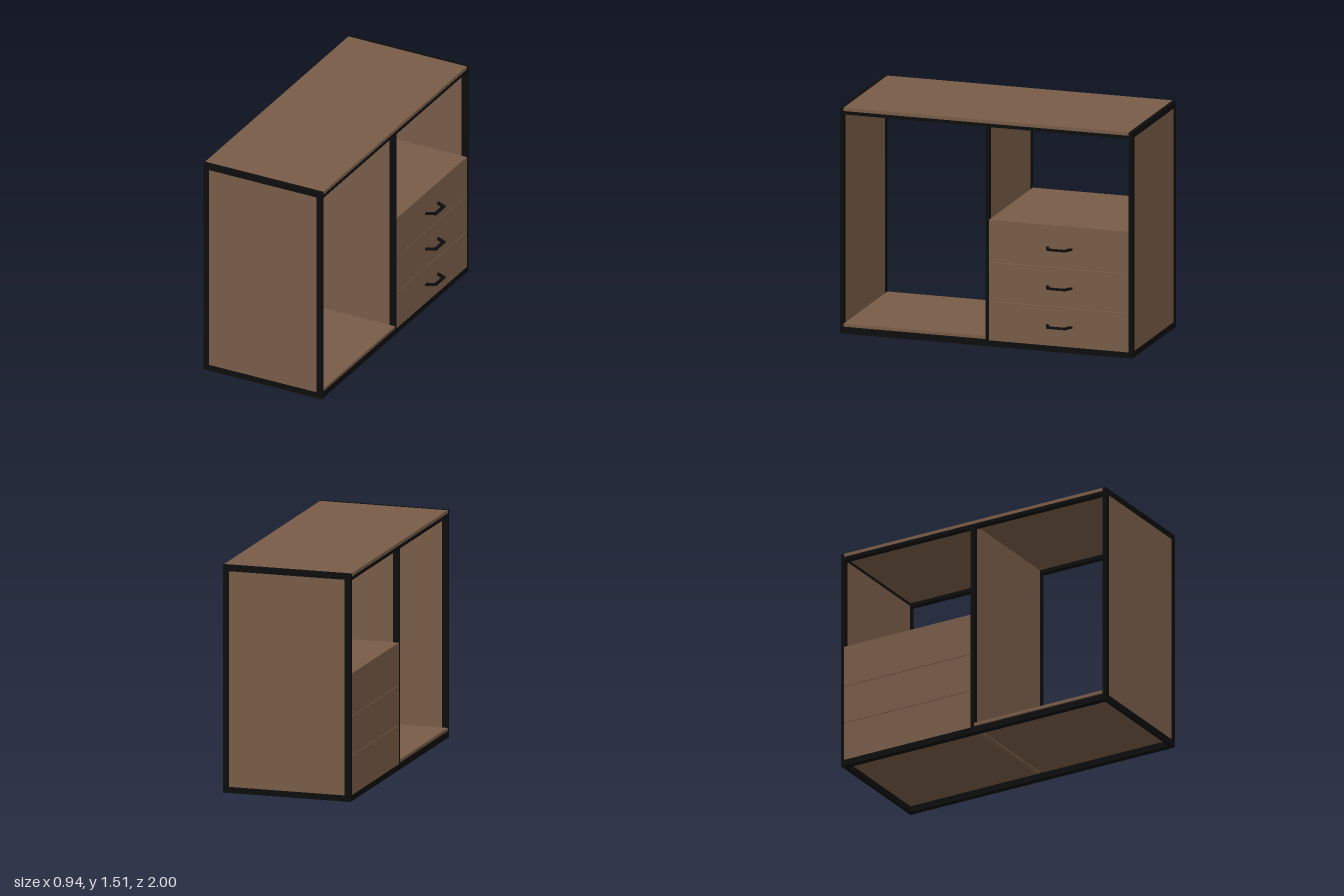
import * as THREE from 'three';

export function createModel() {
  const model = new THREE.Group();
  model.name = 'sideboard';

  const wood = new THREE.MeshStandardMaterial({ color: 0x785c48 });
  wood.name = 'brown wood';
  const metal = new THREE.MeshStandardMaterial({ color: 0x0d0d0d });
  metal.name = 'black metal';

  // Box given by its minimum and maximum corners
  function box(name, material, [x0, y0, z0], [x1, y1, z1]) {
    const mesh = new THREE.Mesh(new THREE.BoxGeometry(x1 - x0, y1 - y0, z1 - z0), material);
    mesh.position.set((x0 + x1) / 2, (y0 + y1) / 2, (z0 + z1) / 2);
    mesh.name = name;
    model.add(mesh);
    return mesh;
  }

  const back = -0.47, front = 0.4, height = 1.51;
  const bar = 0.04, thin = 0.025, inner = 1 - thin;

  // End frames with their inset panels
  for (const side of [-1, 1]) {
    const z0 = side > 0 ? inner : -1, z1 = z0 + thin;
    box('endPostBack', metal, [back, 0, z0], [back + bar, height, z1]);
    box('endPostFront', metal, [front - bar, 0, z0], [front, height, z1]);
    box('endRailBottom', metal, [back + bar, 0, z0], [front - bar, bar, z1]);
    box('endRailTop', metal, [back + bar, height - bar, z0], [front - bar, height, z1]);
    box('endPanel', wood, [back + bar, bar, z0 + 0.003], [front - bar, height - bar, z1 - 0.003]);
  }

  // Long rails and middle posts on both long sides
  for (const x of [back, front - bar]) {
    box('longRailBottom', metal, [x, 0, -inner], [x + bar, bar, inner]);
    box('longRailTop', metal, [x, 1.465, -inner], [x + bar, 1.488, inner]);
    box('middlePost', metal, [x, bar, -0.02], [x + bar, 1.465, 0.005]);
  }

  // Boards
  box('topBoard', wood, [back, 1.488, -inner], [front, height, inner]);
  box('dividerPanel', wood, [back + bar, bar, -0.017], [front - bar, 1.488, 0.002]);
  box('bottomBoard', wood, [back, 0.047, 0.005], [front, 0.067, inner]);

  // Handle: a bent flat bar, outlined in plan
  const outline = [
    [0, 0.092], [0.065, 0.063], [0.065, -0.063], [0, -0.092],
    [0, -0.07], [0.047, -0.049], [0.047, 0.049], [0, 0.07],
  ].map(([x, y]) => new THREE.Vector2(x, y));
  const handleGeometry = new THREE.ExtrudeGeometry(new THREE.Shape(outline), { depth: 0.013, bevelEnabled: false });
  handleGeometry.translate(0, 0, -0.0065);
  handleGeometry.rotateX(-Math.PI / 2);

  // Stack of three full-depth drawers
  const levels = [bar, 0.303, 0.565, 0.846];
  for (let i = 0; i < 3; i++) {
    const gap = i < 2 ? 0.003 : 0;
    box('drawer', wood, [back, levels[i], -inner], [front, levels[i + 1] - gap, -0.02]);
    const handle = new THREE.Mesh(handleGeometry, metal);
    handle.position.set(front, 0.175 + i * 0.26, -0.5);
    handle.name = 'drawerHandle';
    model.add(handle);
  }

  return model;
}
